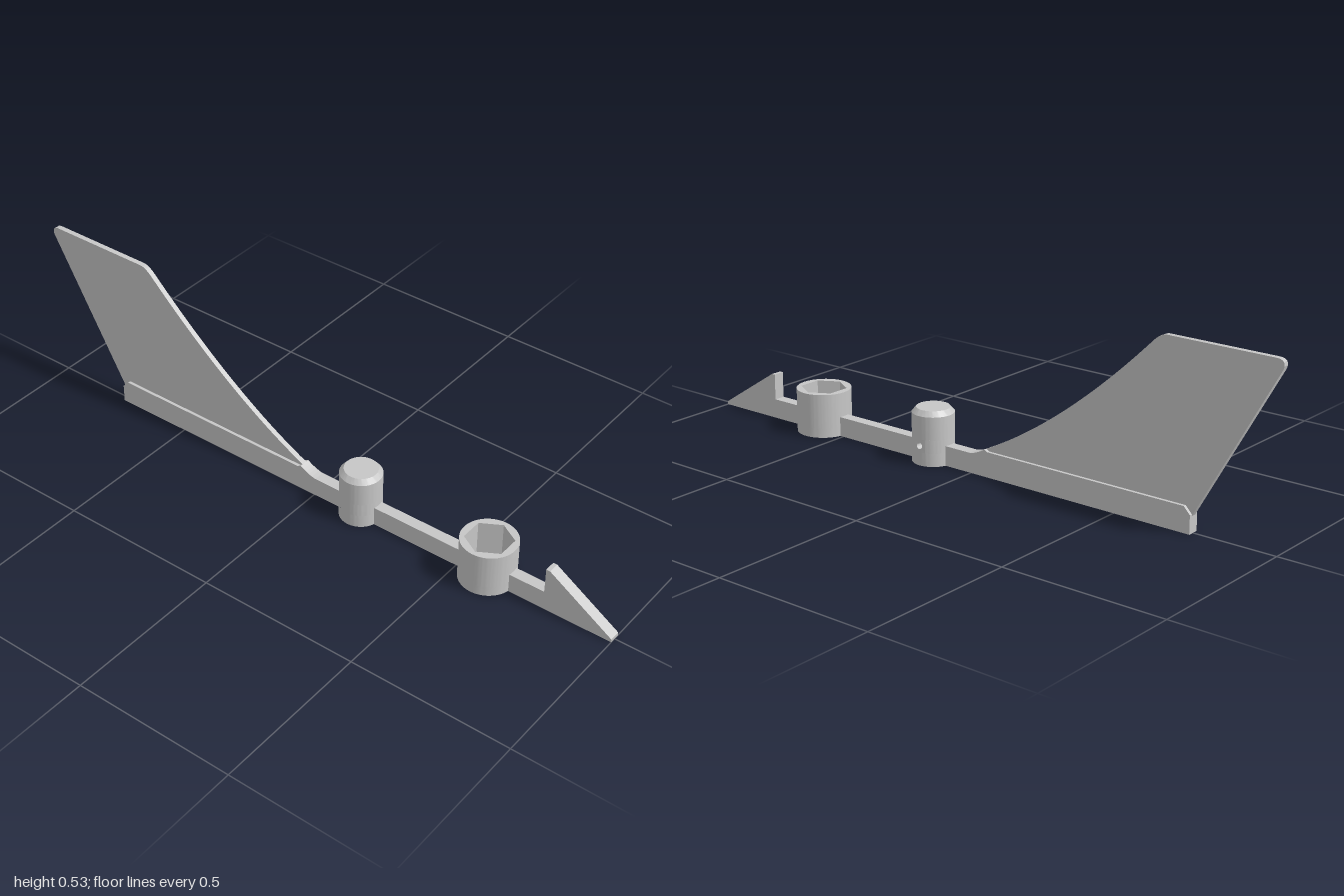
import * as THREE from 'three';
import { toCreasedNormals } from 'three/addons/utils/BufferGeometryUtils.js';

const BAR = 0.035, FIN = 0.016;            // thicknesses
const POST_X = 0.155, POST_R = 0.063;
const CUP_X = 0.592, CUP_R = 0.083;

export function createModel() {
  const model = new THREE.Group();
  const grey = new THREE.MeshStandardMaterial({ color: 0xc6c6c6 });
  grey.name = 'light grey';

  const add = (name, geometry, parent = model) => {
    const mesh = new THREE.Mesh(toCreasedNormals(geometry, 0.5), grey);
    mesh.name = name;
    parent.add(mesh);
  };
  // upright plate, centred on z = 0
  const plate = (name, shape, depth) => {
    const g = new THREE.ExtrudeGeometry(shape, { depth, bevelEnabled: false, curveSegments: 24 });
    add(name, g.translate(0, 0, -depth / 2));
  };
  const polygon = (pts) => new THREE.Shape(pts.map(([x, y]) => new THREE.Vector2(x, y)));
  const lathe = (pts, start = 0, length = Math.PI * 2) =>
    new THREE.LatheGeometry(pts.map(([r, y]) => new THREE.Vector2(r, y)), 64, start, length);

  // rear bar with chamfered end and a swept step into the slim beam
  const rear = new THREE.Shape();
  rear.moveTo(-0.745, 0);
  rear.lineTo(POST_X - 0.06, 0);
  rear.lineTo(POST_X - 0.06, 0.06);
  rear.lineTo(0.005, 0.06);
  rear.quadraticCurveTo(-0.02, 0.063, -0.05, 0.082);
  rear.lineTo(-0.06, 0.076);
  rear.lineTo(-0.725, 0.076);
  rear.lineTo(-0.745, 0.055);
  plate('rearBar', rear, BAR);

  // middle beam between post and cup
  plate('middleBeam', polygon([[POST_X + 0.06, 0], [CUP_X - 0.08, 0],
    [CUP_X - 0.08, 0.06], [POST_X + 0.06, 0.06]]), BAR);

  // nose beam with barbed tip
  plate('noseBarb', polygon([[CUP_X + 0.08, 0], [1, 0], [1, 0.01], [0.797, 0.14],
    [0.785, 0.14], [0.785, 0.06], [CUP_X + 0.08, 0.06]]), BAR);

  // thin swept fin
  const fin = new THREE.Shape();
  fin.moveTo(-0.745, 0.05);
  fin.lineTo(-0.05, 0.05);
  fin.lineTo(-0.05, 0.082);
  fin.quadraticCurveTo(-0.32, 0.215, -0.61, 0.507);
  fin.quadraticCurveTo(-0.632, 0.528, -0.65, 0.528);
  fin.lineTo(-0.975, 0.528);
  fin.quadraticCurveTo(-1.008, 0.528, -0.997, 0.5);
  plate('fin', fin, FIN);

  // post: bored base, chamfered cap, and a band with a small hole at the back
  const post = new THREE.Group();
  post.name = 'post';
  post.position.x = POST_X;
  model.add(post);
  const y0 = 0.04, y1 = 0.08, half = 0.02, holeR = 0.01;
  add('postBase', lathe([[0, 0.11], [0.022, 0.11], [0.022, 0], [POST_R, 0], [POST_R, y0]]), post);
  add('postCap', lathe([[POST_R, y1], [POST_R, 0.15], [0.05, 0.165], [0, 0.165]]), post);
  const gap = half / POST_R;
  add('postBand', lathe([[POST_R, y0], [POST_R, y1]], Math.PI + gap, Math.PI * 2 - 2 * gap), post);

  // ring strip around the side hole, joining an inner and an outer loop
  const onWall = (u, v) => {
    const a = Math.PI + u / POST_R;
    return [POST_R * Math.sin(a), y0 + half + v, POST_R * Math.cos(a)];
  };
  const n = 32;
  const ring = (inner, outer) => {
    const pos = [], index = [];
    for (let i = 0; i <= n; i++) {
      const t = (i / n) * Math.PI * 2, c = Math.cos(t), s = Math.sin(t);
      pos.push(...inner(c, s), ...outer(c, s));
      if (i < n) index.push(2 * i, 2 * i + 1, 2 * i + 3, 2 * i, 2 * i + 3, 2 * i + 2);
    }
    const g = new THREE.BufferGeometry();
    g.setAttribute('position', new THREE.Float32BufferAttribute(pos, 3));
    g.setIndex(index);
    return g;
  };
  const rim = (c, s) => onWall(holeR * c, holeR * s);
  const square = (c, s) => {
    const k = half / Math.max(Math.abs(c), Math.abs(s));
    return onWall(k * c, k * s);
  };
  const deep = (c, s) => [-holeR * c, y0 + half + holeR * s, -0.02];
  add('postHoleSurround', ring(rim, square), post);
  add('postHole', ring(deep, rim), post);

  // cup with a hexagonal pocket
  const cup = new THREE.Group();
  cup.name = 'hexCup';
  cup.position.x = CUP_X;
  model.add(cup);
  const floorY = 0.03, cupTop = 0.135;
  const wall = new THREE.Shape().absarc(0, 0, CUP_R, 0, Math.PI * 2);
  const hex = [];
  for (let i = 0; i < 6; i++) {
    const a = Math.PI / 2 - (i * Math.PI) / 3;
    hex.push(new THREE.Vector2(0.07 * Math.cos(a), 0.07 * Math.sin(a)));
  }
  wall.holes.push(new THREE.Path(hex));
  const wallGeo = new THREE.ExtrudeGeometry(wall, { depth: cupTop - floorY, bevelEnabled: false, curveSegments: 64 });
  add('cupWall', wallGeo.rotateX(-Math.PI / 2).translate(0, floorY, 0), cup);
  add('cupFloor', new THREE.CylinderGeometry(CUP_R, CUP_R, floorY, 64).translate(0, floorY / 2, 0), cup);

  return model;
}
